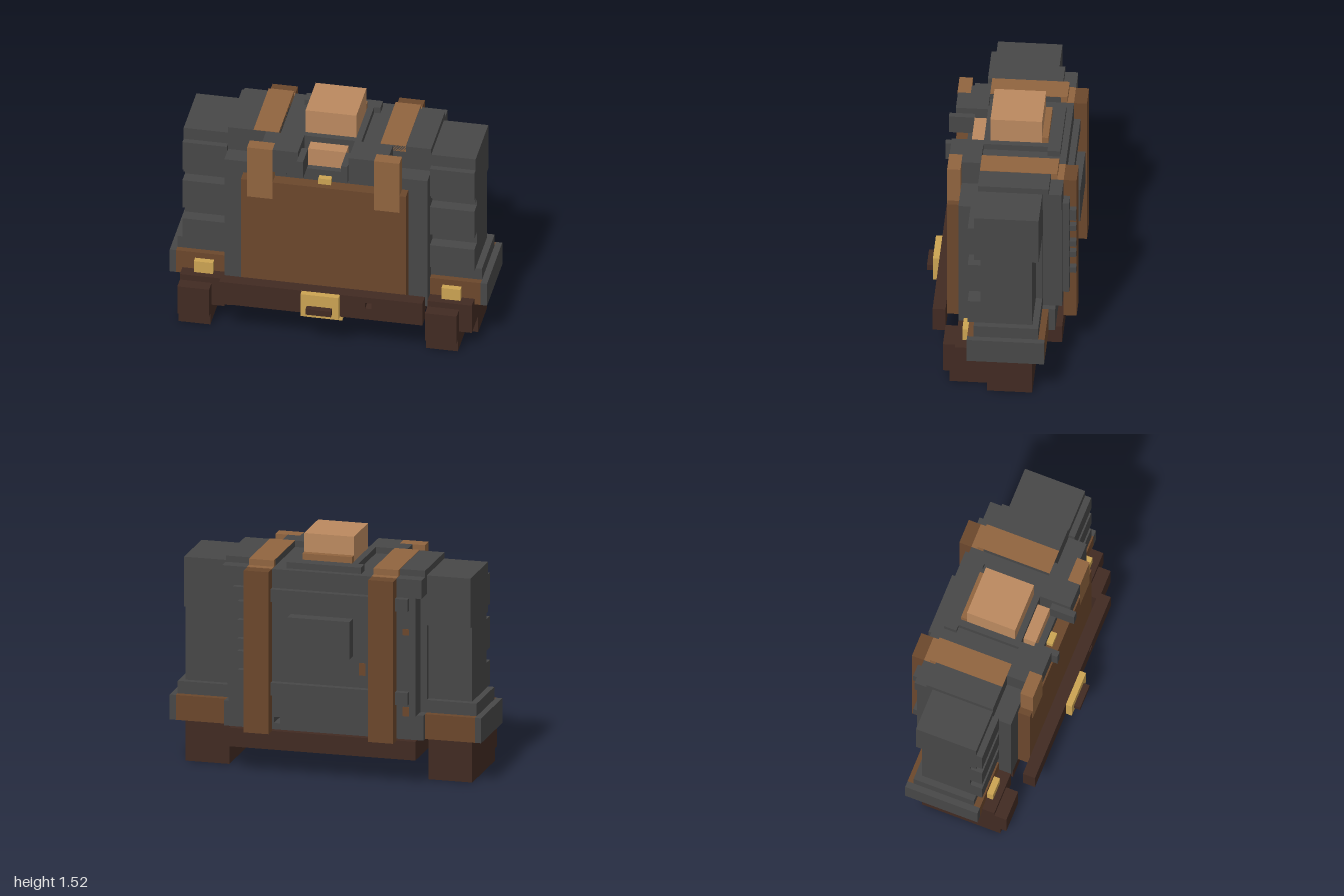
import * as THREE from 'three';

const mat = (name, color) => {
  const m = new THREE.MeshStandardMaterial({ color });
  m.name = name;
  return m;
};

export function createModel() {
  const grey = mat('charcoal', 0x474747);
  const dark = mat('dark brown', 0x412a22);
  const brown = mat('leather brown', 0x6b472c);
  const tan = mat('strap tan', 0x90643f);
  const copper = mat('copper', 0xbb895f);
  const gold = mat('brass', 0xcba352);
  const model = new THREE.Group();

  // box given by its extents on each axis
  const box = (name, m, x0, x1, y0, y1, z0, z1) => {
    const mesh = new THREE.Mesh(new THREE.BoxGeometry(x1 - x0, y1 - y0, z1 - z0), m);
    mesh.position.set((x0 + x1) / 2, (y0 + y1) / 2, (z0 + z1) / 2);
    mesh.name = name;
    model.add(mesh);
  };
  // the same box on both sides
  const pair = (name, m, x0, x1, ...rest) => {
    box(name + 'Left', m, x0, x1, ...rest);
    box(name + 'Right', m, -x1, -x0, ...rest);
  };
  // slab with a small square peephole right through it
  const pierced = (name, m, w, y0, y1, z0, z1) => {
    const rect = (P, a, b, c, d) => {
      const p = new P();
      p.moveTo(a, c); p.lineTo(b, c); p.lineTo(b, d); p.lineTo(a, d); p.closePath();
      return p;
    };
    const shape = rect(THREE.Shape, -w, w, y0, y1);
    shape.holes.push(rect(THREE.Path, 0.28, 0.32, 0.32, 0.36));
    const mesh = new THREE.Mesh(new THREE.ExtrudeGeometry(shape, { depth: z1 - z0, bevelEnabled: false }), m);
    mesh.position.z = z0;
    mesh.name = name;
    model.add(mesh);
  };

  // body core and shoulders
  pierced('bodyLower', grey, 0.64, 0.28, 0.44, -0.36, 0.24);
  box('bodyCore', grey, -0.64, 0.64, 0.44, 1.2, -0.28, 0.24);
  box('bodyTop', grey, -0.64, 0.64, 1.2, 1.32, -0.4, 0.12);
  pair('shoulder', grey, 0.32, 0.64, 1.32, 1.36, -0.32, 0.12);
  pair('frontShoulder', grey, 0.16, 0.4, 1.2, 1.36, 0.12, 0.24);
  pair('collarBlock', grey, 0.16, 0.32, 1.2, 1.36, 0.24, 0.32);
  pair('collarClip', grey, 0.12, 0.16, 1.2, 1.32, 0.2, 0.36);
  box('collarBack', grey, -0.24, 0.24, 1.32, 1.36, -0.36, -0.28);
  pair('collarSide', grey, 0.16, 0.2, 1.32, 1.36, -0.28, 0.12);
  box('collarFront', grey, -0.16, 0.16, 1.32, 1.36, 0.08, 0.12);
  box('frontStud', grey, -0.28, -0.24, 1.16, 1.2, 0.24, 0.28);

  // top block and front inset
  box('topBlock', copper, -0.16, 0.16, 1.32, 1.52, -0.24, 0.08);
  box('topBlockLip', tan, -0.16, 0.16, 1.32, 1.4, -0.28, -0.24);
  box('frontInset', copper, -0.12, 0.12, 1.2, 1.32, 0.12, 0.2);
  box('frontInsetClasp', gold, -0.04, 0.04, 1.12, 1.16, 0.24, 0.28);

  // front panel and straps
  pierced('frontPanel', brown, 0.52, 0.28, 1.12, 0.24, 0.32);
  pair('frontStrap', tan, 0.32, 0.48, 1.0, 1.36, 0.24, 0.323);
  pair('topStrap', tan, 0.32, 0.48, 1.32, 1.363, -0.36, 0.12);
  pair('topStrapEnd', tan, 0.32, 0.48, 1.3, 1.323, -0.4, -0.36);
  pair('backStrap', brown, 0.32, 0.48, 0.28, 1.32, -0.48, -0.4);

  // back plating
  box('backPlate', grey, -0.6, 0.6, 0.44, 1.2, -0.4, -0.28);
  for (const y of [0.52, 1.12]) box('backBar', grey, -0.56, 0.56, y, y + 0.08, -0.44, -0.4);
  box('backRail', grey, 0.48, 0.56, 0.6, 1.12, -0.44, -0.4);
  box('backPanel', grey, -0.2, 0.2, 0.8, 1.04, -0.48, -0.4);
  for (const [y0, y1] of [[1.04, 1.12], [0.96, 1], [0.84, 0.88], [0.76, 0.8], [0.64, 0.68]])
    box('backTab', grey, 0.48, 0.52, y0, y1, -0.48, -0.44);

  // worn patches on the back
  for (const [x, y0, y1] of [[-0.28, 0.68, 0.76], [-0.56, 0.96, 1], [-0.56, 0.44, 0.5]])
    box('wornPatch', brown, x, x + 0.04, y0, y1, -0.403, -0.398);

  // side columns with front bands
  pair('sideColumn', grey, 0.64, 0.92, 0.44, 1, -0.24, 0.08);
  pair('sideColumnUpper', grey, 0.64, 0.92, 1, 1.32, -0.28, 0.12);
  for (const [y0, y1] of [[1.04, 1.24], [0.76, 0.96], [0.52, 0.68]])
    pair('columnBand', grey, 0.64, 0.92, y0, y1, 0.08, 0.16);
  pair('cuffStep', grey, 0.64, 0.96, 0.44, 0.52, -0.28, 0.12);
  pair('cuff', brown, 0.64, 0.96, 0.28, 0.44, -0.32, 0.16);
  pair('cuffCap', grey, 0.96, 1, 0.28, 0.44, -0.32, 0.16);
  pair('cuffBuckle', gold, 0.72, 0.84, 0.32, 0.4, 0.16, 0.2);

  // base, front beam and buckle
  box('base', dark, -0.6, 0.6, 0.16, 0.28, -0.4, 0.24);
  pierced('frontBeam', dark, 0.64, 0.24, 0.4, 0.32, 0.4);
  box('buckle', gold, -0.12, 0.12, 0.24, 0.4, 0.4, 0.44);
  box('buckleTongue', gold, -0.12, 0.12, 0.16, 0.28, 0.24, 0.32);
  box('buckleKnob', dark, -0.08, 0.08, 0.28, 0.32, 0.44, 0.48);

  // feet, with toes that sit on the same hand on both sides
  pair('foot', dark, 0.64, 0.92, 0, 0.28, -0.24, 0.04);
  pair('footUpper', dark, 0.64, 0.92, 0.12, 0.28, 0.04, 0.24);
  pair('footLip', dark, 0.64, 0.92, 0.28, 0.32, 0.16, 0.24);
  for (const x of [-0.92, 0.64]) {
    box('footLower', dark, x, x + 0.2, 0, 0.12, 0.04, 0.28);
    box('toe', dark, x, x + 0.2, 0.08, 0.28, 0.24, 0.32);
  }
  return model;
}
